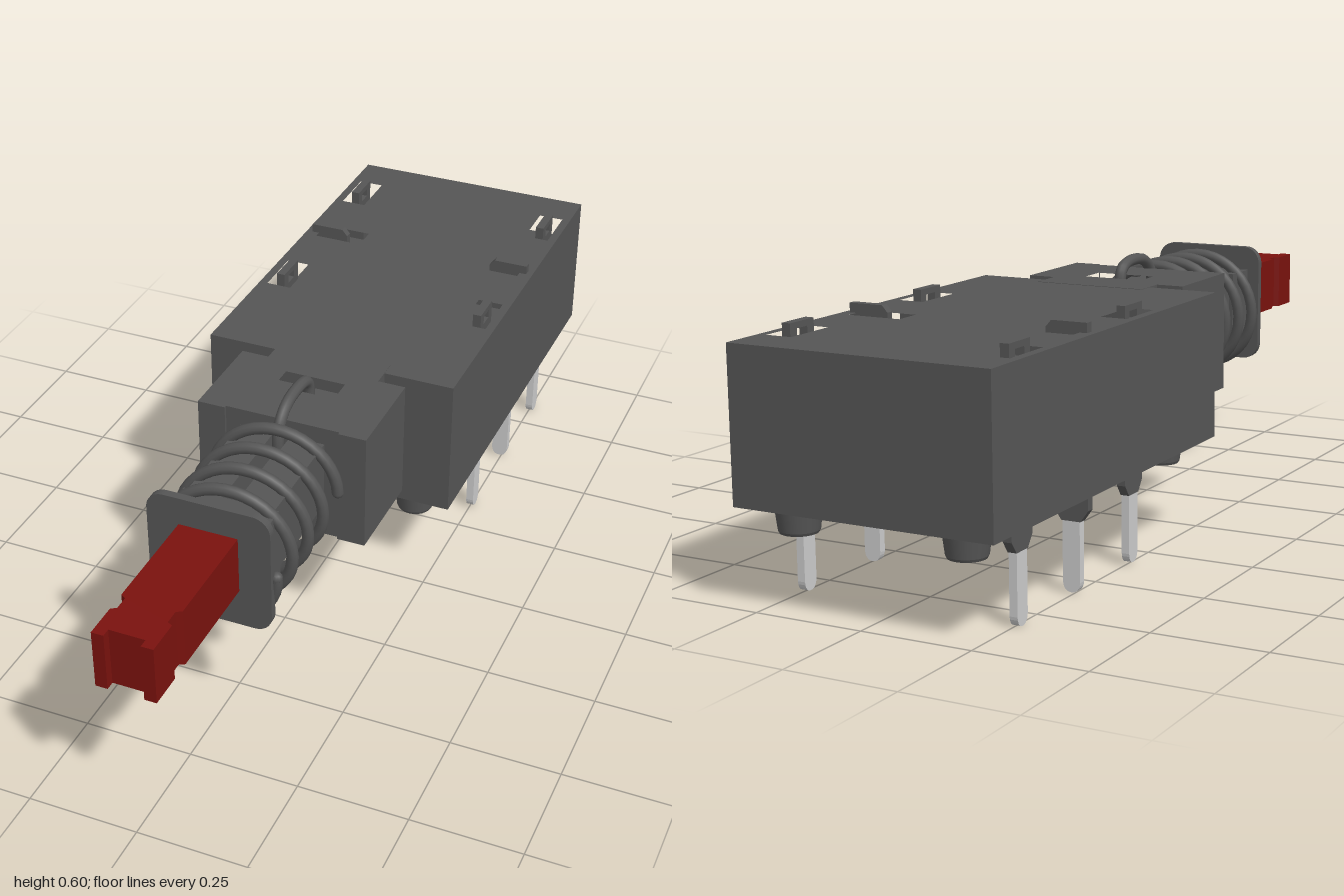
import * as THREE from 'three';

const dark = new THREE.MeshStandardMaterial({ color: 0x555555 });
const red = new THREE.MeshStandardMaterial({ color: 0x7a120e });
const metal = new THREE.MeshStandardMaterial({ color: 0xcccccc });

function add(parent, name, geometry, material = dark) {
  const mesh = new THREE.Mesh(geometry, material);
  mesh.name = name;
  parent.add(mesh);
  return mesh;
}

const toShape = (pts) => new THREE.Shape(pts.map(([a, b]) => new THREE.Vector2(a, b)));
const rect = (u, v, w, h) => [[u - w / 2, v - h / 2], [u + w / 2, v - h / 2], [u + w / 2, v + h / 2], [u - w / 2, v + h / 2]];

// Plan outline in (x, z), raised from y0 to y1, with optional holes
function slab(outline, y0, y1, holes = []) {
  const flip = (pts) => pts.map(([x, z]) => [x, -z]);
  const shape = toShape(flip(outline));
  shape.holes = holes.map((h) => toShape(flip(h)));
  return new THREE.ExtrudeGeometry(shape, { depth: y1 - y0, bevelEnabled: false })
    .rotateX(-Math.PI / 2).translate(0, y0, 0);
}

// Right half of a plan outline, mirrored to a full one
const mirrored = (half) => [...half, ...half.map(([x, z]) => [-x, z]).reverse()];

// Thin upright sheet outlined in (width, y), centred in its thickness
function sheet(shape, t) {
  return new THREE.ExtrudeGeometry(shape, { depth: t, bevelEnabled: false, curveSegments: 6 }).translate(0, 0, -t / 2);
}

function roundedRect(w, h, r) {
  const s = new THREE.Shape(), a = w / 2, b = h / 2;
  s.moveTo(-a + r, -b).lineTo(a - r, -b).absarc(a - r, -b + r, r, -Math.PI / 2, 0);
  s.lineTo(a, b - r).absarc(a - r, b - r, r, 0, Math.PI / 2);
  s.lineTo(-a + r, b).absarc(-a + r, b - r, r, Math.PI / 2, Math.PI);
  s.lineTo(-a, -b + r).absarc(-a + r, -b + r, r, Math.PI, Math.PI * 1.5);
  return s;
}

function makeTerminal(crosswise, side) {
  const g = new THREE.Group();
  g.name = crosswise ? 'middleTerminal' : 'sideTerminal';
  // leg with a rounded tip
  const leg = new THREE.Shape();
  leg.moveTo(-0.02, 0.23).lineTo(-0.02, 0.03).quadraticCurveTo(-0.018, 0.008, 0, 0.008);
  leg.quadraticCurveTo(0.018, 0.008, 0.02, 0.03).lineTo(0.02, 0.23);
  add(g, 'leg', sheet(leg, 0.018), metal);
  // shoulder under the case
  const shoulder = toShape([[-0.04, 0.24], [-0.04, 0.185], [-0.022, 0.16], [0.022, 0.16], [0.04, 0.185], [0.04, 0.24]]);
  add(g, 'shoulder', sheet(shoulder, 0.02));
  // tab showing in the top slot
  if (crosswise) {
    add(g, 'topTab', sheet(toShape([[-0.055, 0.4], [0.04, 0.4], [0.04, 0.573], [-0.042, 0.573], [-0.055, 0.558]]), 0.018));
  } else {
    const tab = toShape(rect(0, 0.487, 0.08, 0.173));
    tab.holes.push(toShape(rect(0, 0.55, 0.035, 0.02)));
    add(g, 'topTab', sheet(tab, 0.02));
    g.rotation.y = Math.PI / 2;
  }
  if (crosswise && side < 0) g.rotation.y = Math.PI;
  return g;
}

class Coil extends THREE.Curve {
  getPoint(t, out = new THREE.Vector3()) {
    const a = (t * 4 - 3) * Math.PI * 2;
    return out.set(Math.cos(a) * 0.142, 0.415 + Math.sin(a) * 0.142, 0.274 + t * 0.327);
  }
}

export function createModel() {
  const model = new THREE.Group();
  model.name = 'pushSwitch';

  // Housing leans very slightly back
  const housing = new THREE.Group();
  housing.name = 'housing';
  housing.rotation.x = -0.01;
  model.add(housing);

  // Case: slotted top over a closed base
  const outline = rect(0, -0.503, 0.6, 0.985);
  const slots = [], slits = [];
  for (const s of [-1, 1]) {
    slots.push(rect(s * 0.25, -0.35, 0.06, 0.125), rect(s * 0.25, -0.83, 0.06, 0.125), rect(s * 0.205, -0.592, 0.125, 0.062));
    slits.push(rect(s * 0.178, -0.592, 0.035, 0.02));
  }
  add(housing, 'caseTop', slab(outline, 0.45, 0.552, slots));
  add(housing, 'caseBase', slab(outline, 0.22, 0.45, slits));

  // Neck with side notches and a slot for the hook
  const neck = mirrored([[0.135, -0.05], [0.135, 0.028], [0.2, 0.028], [0.2, 0.262], [0.135, 0.262], [0.135, 0.255]]);
  add(housing, 'neckTop', slab(neck, 0.47, 0.553, [rect(0, 0.103, 0.144, 0.065)]));
  add(housing, 'neckBase', slab(neck, 0.273, 0.47));

  for (const s of [-1, 1]) {
    // Locating pegs
    for (const z of [-0.075, -0.92]) {
      add(housing, 'locatingPeg', new THREE.CylinderGeometry(0.05, 0.043, 0.056, 24)).position.set(s * 0.196, 0.198, z);
      add(housing, 'pegTip', new THREE.CylinderGeometry(0.043, 0.04, 0.006, 24)).position.set(s * 0.196, 0.167, z);
    }
    // Terminals
    for (const z of [-0.345, -0.587, -0.825]) {
      const middle = z === -0.587;
      const terminal = makeTerminal(middle, s);
      terminal.position.set(s * (middle ? 0.245 : 0.252), 0, z);
      housing.add(terminal);
    }
  }

  // Plunger shaft, grooved along the top and bottom
  const shaft = toShape(mirrored([[0.02, 0.355], [0.1, 0.355], [0.1, 0.515], [0.02, 0.515], [0.02, 0.46]]));
  add(model, 'plungerShaft', new THREE.ExtrudeGeometry(shaft, { depth: 0.37, bevelEnabled: false })).position.z = 0.245;
  add(model, 'shaftEnd', new THREE.BoxGeometry(0.22, 0.16, 0.1)).position.set(0, 0.435, 0.562);

  // Spring stop plate
  add(model, 'stopPlate', sheet(roundedRect(0.28, 0.288, 0.04), 0.018)).position.set(0, 0.429, 0.615);

  // Spring with closed ends
  const spring = new THREE.Group();
  spring.name = 'spring';
  model.add(spring);
  const coil = new Coil();
  add(spring, 'springCoil', new THREE.TubeGeometry(coil, 160, 0.0135, 10));
  for (const t of [0, 1]) {
    add(spring, 'springEnd', new THREE.SphereGeometry(0.0135, 10, 8)).position.copy(coil.getPoint(t));
  }

  // Wire hook over the neck
  const hookPoints = [[0.44, 0.272], [0.53, 0.27], [0.562, 0.252], [0.582, 0.215], [0.582, 0.135], [0.566, 0.108], [0.5, 0.1], [0.46, 0.1]]
    .map(([y, z]) => new THREE.Vector3(0, y, z));
  add(model, 'latchHook', new THREE.TubeGeometry(new THREE.CatmullRomCurve3(hookPoints), 48, 0.0135, 10));

  // Coloured actuator with a waist and a notched tip
  const tip = mirrored([[0.067, 0.62], [0.067, 0.875], [0.055, 0.882], [0.055, 0.915], [0.067, 0.922], [0.067, 1], [0.04, 1], [0.04, 0.98]]);
  add(model, 'actuator', slab(tip, 0.374, 0.508), red);

  return model;
}
